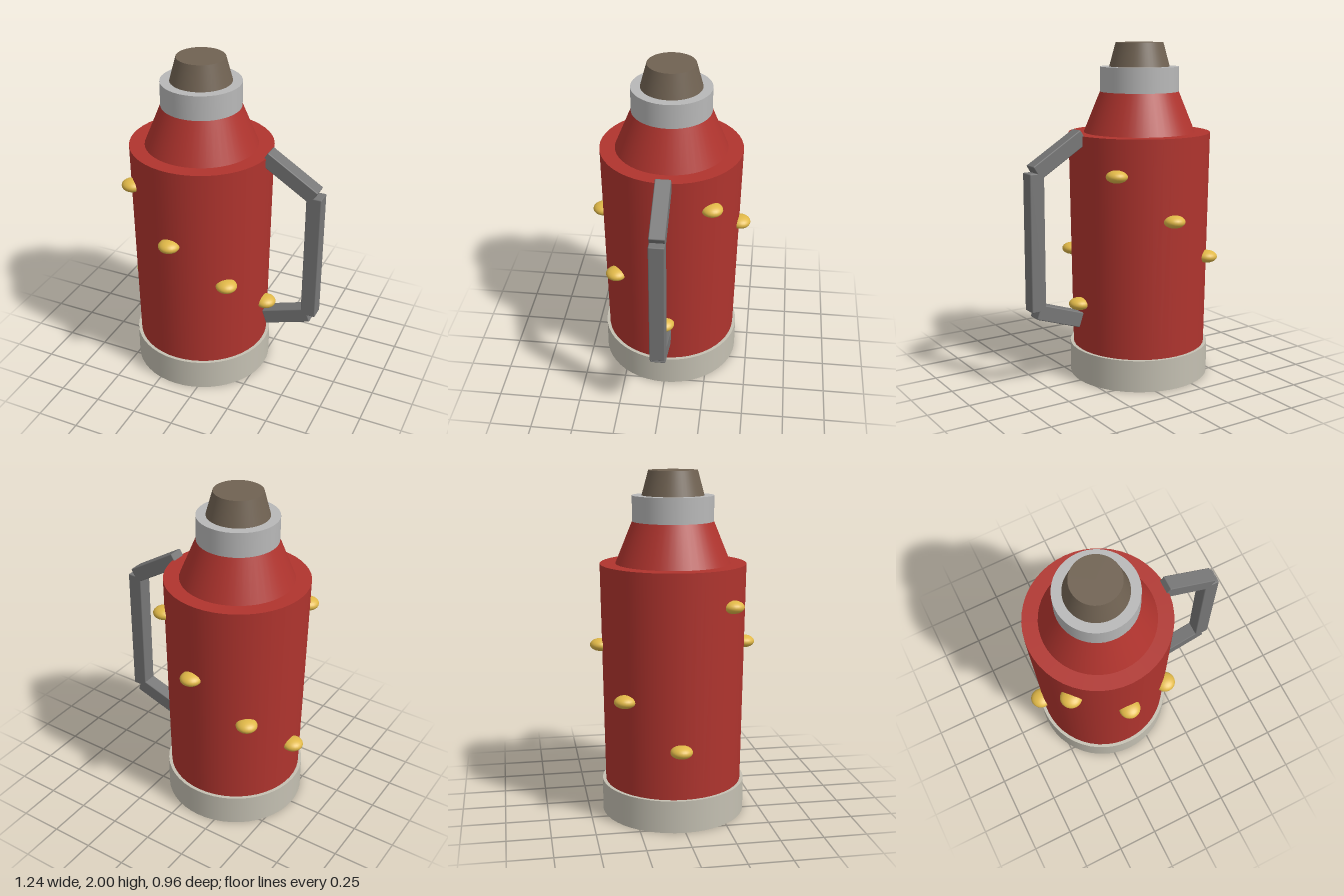
import * as THREE from 'three';
import { RoundedBoxGeometry } from 'three/addons/geometries/RoundedBoxGeometry.js';

const paint = (color) => new THREE.MeshStandardMaterial({ color });

export function createModel() {
  const flask = new THREE.Group();
  flask.name = 'vacuumFlask';

  const red = paint(0xb0342e);
  const cream = paint(0xc4c0b2);
  const silver = paint(0xb8b8b8);
  const cork = paint(0x706252);
  const gold = paint(0xe0b848);
  const steel = paint(0x777777);

  // Round parts share one upright axis, offset to leave room for the handle
  const axisX = -0.14;
  const addRound = (name, rBottom, rTop, y0, y1, material) => {
    const mesh = new THREE.Mesh(new THREE.CylinderGeometry(rTop, rBottom, y1 - y0, 48), material);
    mesh.name = name;
    mesh.position.set(axisX, (y0 + y1) / 2, 0);
    flask.add(mesh);
  };
  addRound('base', 0.42, 0.42, 0, 0.19, cream);
  addRound('body', 0.4, 0.42, 0.19, 1.477, red);
  addRound('shoulder', 0.33, 0.233, 1.477, 1.715, red);
  addRound('collar', 0.233, 0.233, 1.715, 1.86, silver);
  addRound('stopper', 0.178, 0.14, 1.86, 2, cork);

  // Flattened studs climbing the body in two spiral runs of four
  const studs = new THREE.Group();
  studs.name = 'studs';
  const studGeometry = new THREE.SphereGeometry(0.063, 24, 16);
  for (let i = 0; i < 8; i++) {
    const angle = i * 0.8;
    const stud = new THREE.Mesh(studGeometry, gold);
    stud.name = 'stud';
    stud.scale.y = 0.58;
    stud.position.set(axisX + 0.42 * Math.cos(angle), 0.48 + (i % 4) * 0.262, 0.42 * Math.sin(angle));
    studs.add(stud);
  }
  flask.add(studs);

  // Handle: three square bars laid end to end
  const handle = new THREE.Group();
  handle.name = 'handle';
  const joints = [[0.265, 1.476], [0.57, 1.286], [0.57, 0.484], [0.29, 0.39]];
  const barNames = ['upperBar', 'gripBar', 'lowerBar'];
  barNames.forEach((name, i) => {
    const [x0, y0] = joints[i];
    const [x1, y1] = joints[i + 1];
    const length = Math.hypot(x1 - x0, y1 - y0);
    const bar = new THREE.Mesh(new RoundedBoxGeometry(length, 0.09, 0.09, 1, 0.006), steel);
    bar.name = name;
    bar.position.set((x0 + x1) / 2, (y0 + y1) / 2, 0);
    bar.rotation.z = Math.atan2(y1 - y0, x1 - x0);
    handle.add(bar);
  });
  flask.add(handle);

  return flask;
}
